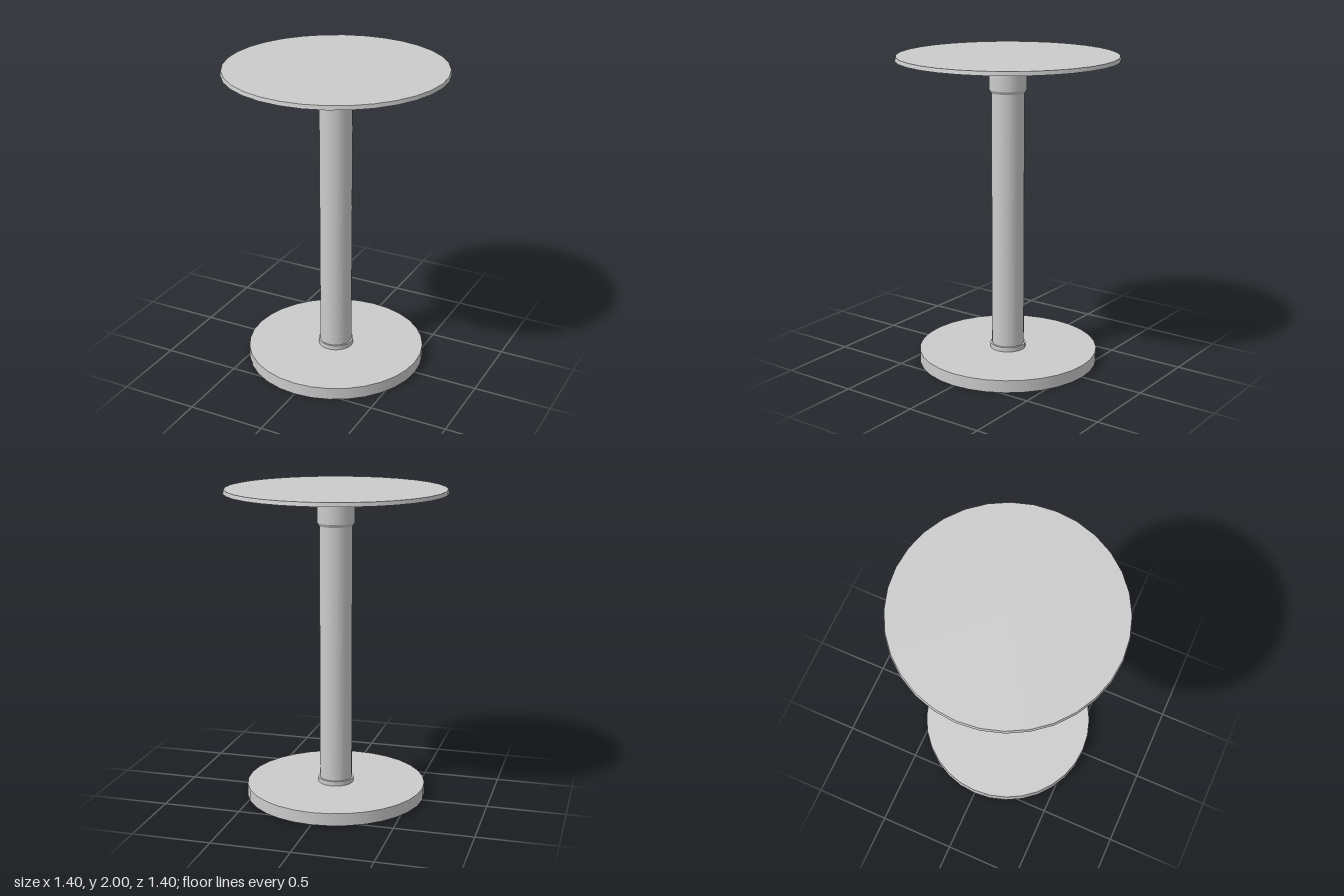
import * as THREE from 'three';

const SIDES = 32;

export function createModel() {
  const model = new THREE.Group();
  const material = new THREE.MeshStandardMaterial({ color: 0xcccccc });

  // Round section between two heights, optionally tapered
  function addRound(parent, name, bottomY, topY, bottomR, topR = bottomR, open = false) {
    const geometry = new THREE.CylinderGeometry(topR, bottomR, topY - bottomY, SIDES, 1, open);
    const mesh = new THREE.Mesh(geometry, material);
    mesh.name = name;
    mesh.position.y = (bottomY + topY) / 2;
    parent.add(mesh);
  }

  // Floor plate, raised ring and column
  addRound(model, 'base', 0, 0.08, 0.58);
  addRound(model, 'baseRing', 0.08, 0.11, 0.115);
  addRound(model, 'column', 0.08, 1.975, 0.104);

  // Collar under the top: chamfer, straight sleeve, flared support
  const collar = new THREE.Group();
  collar.name = 'collar';
  addRound(collar, 'collarChamfer', 1.768, 1.787, 0.108, 0.119, true);
  addRound(collar, 'collarSleeve', 1.787, 1.905, 0.119, 0.119, true);
  addRound(collar, 'collarFlare', 1.905, 1.976, 0.119, 0.165, true);
  model.add(collar);

  // Thin table top with a slightly tapered rim
  addRound(model, 'tableTop', 1.975, 2, 0.7, 0.695);

  return model;
}
